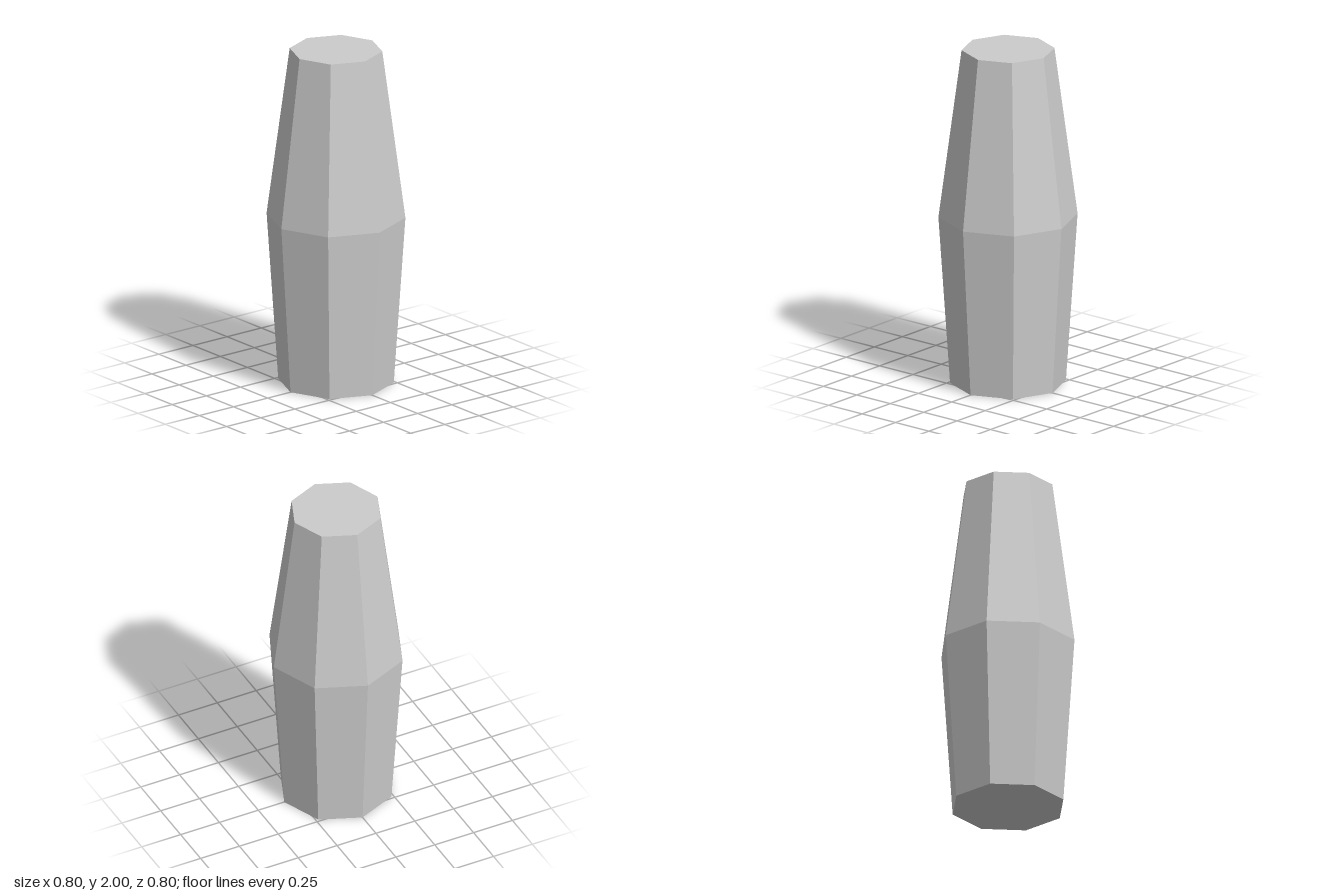
import * as THREE from 'three';

export function createModel() {
  const group = new THREE.Group();
  group.name = 'taperedPost';

  // Closed half profile (radius, height): base, widest ring, top
  const profile = [[0, 0], [0.333, 0], [0.4, 1], [0.267, 2], [0, 2]]
    .map(([r, y]) => new THREE.Vector2(r, y));

  // Eight flat sides, with corners on the x and z axes
  const body = new THREE.Mesh(
    new THREE.LatheGeometry(profile, 8),
    new THREE.MeshStandardMaterial({ color: 0xcccccc, flatShading: true })
  );
  body.name = 'body';
  group.add(body);

  return group;
}
